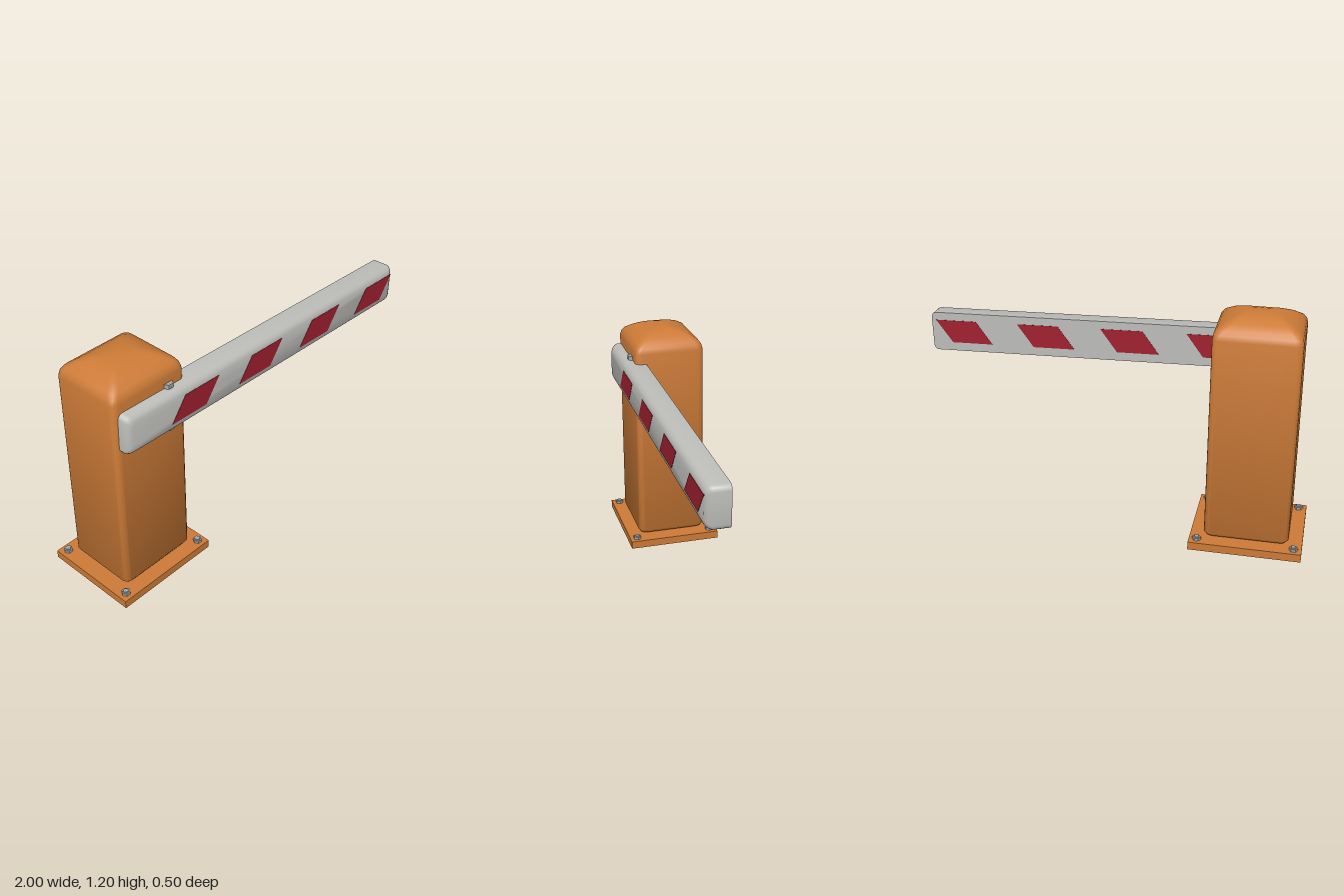
import * as THREE from 'three';
import { toCreasedNormals } from 'three/addons/utils/BufferGeometryUtils.js';

// Rounded rectangle stacked along z; rings are [z, inset] pairs, closed at both ends.
function loft(halfW, halfH, radius, rings) {
  const pos = [], index = [], steps = 4, n = 4 * (steps + 1);
  for (const [z, inset] of rings) {
    const w = halfW - inset, h = halfH - inset, r = Math.min(radius, w * 0.9, h * 0.9);
    for (let c = 0; c < 4; c++) {
      const sx = c === 0 || c === 3 ? 1 : -1, sy = c < 2 ? 1 : -1;
      for (let s = 0; s <= steps; s++) {
        const a = (c + s / steps) * Math.PI / 2;
        pos.push(sx * (w - r) + r * Math.cos(a), sy * (h - r) + r * Math.sin(a), z);
      }
    }
  }
  const last = (rings.length - 1) * n, c0 = rings.length * n;
  pos.push(0, 0, rings[0][0], 0, 0, rings[rings.length - 1][0]);
  for (let i = 0; i < n; i++) {
    const j = (i + 1) % n;
    for (let k = 0; k < last; k += n) {
      index.push(k + i, k + j, k + n + j, k + i, k + n + j, k + n + i);
    }
    index.push(c0, j, i, c0 + 1, last + i, last + j);
  }
  const g = new THREE.BufferGeometry();
  g.setAttribute('position', new THREE.Float32BufferAttribute(pos, 3));
  g.setIndex(index);
  return toCreasedNormals(g, 0.75);
}

function material(name, color) {
  const m = new THREE.MeshStandardMaterial({ color });
  m.name = name;
  return m;
}

export function createModel() {
  const model = new THREE.Group();
  model.name = 'barrierGate';
  const orange = material('orange paint', 0xcd7b37);
  const white = material('pale grey', 0xbdbdba);
  const red = material('stripe red', 0xa0202f);
  const steel = material('bolt steel', 0xa3a8ab);

  function add(parent, name, geometry, mat, x = 0, y = 0, z = 0) {
    const mesh = new THREE.Mesh(geometry, mat);
    mesh.name = name;
    mesh.position.set(x, y, z);
    parent.add(mesh);
    return mesh;
  }
  const hex = (r, h) => toCreasedNormals(new THREE.CylinderGeometry(r, r, h, 6).rotateY(Math.PI / 6), 0.5);

  // Base plate and its four bolts
  const baseX = -0.718;
  add(model, 'basePlate', new THREE.BoxGeometry(0.564, 0.042, 0.5), orange, baseX, 0.021, 0);
  for (const sx of [-1, 1]) for (const sz of [-1, 1]) {
    add(model, 'baseBolt', hex(0.022, 0.014), steel, baseX + sx * 0.242, 0.049, sz * 0.21);
    add(model, 'baseBoltTip', new THREE.CylinderGeometry(0.012, 0.014, 0.006, 12), steel,
      baseX + sx * 0.242, 0.058, sz * 0.21);
  }

  // Cabinet with a softly domed top
  const cabinet = loft(0.213, 0.187, 0.032, [
    [0.042, 0.026], [0.05, 0.012], [0.068, 0], [1.105, 0], [1.13, 0.006],
    [1.15, 0.02], [1.175, 0.058], [1.194, 0.1], [1.204, 0.145],
  ]).rotateX(-Math.PI / 2);
  add(model, 'cabinet', cabinet, orange, baseX, 0, 0);

  // Boom, dropping slightly toward its tip
  const boom = new THREE.Group();
  boom.name = 'boom';
  boom.position.set(0.045, 0.937, 0);
  boom.rotation.z = -0.022;
  model.add(boom);
  add(boom, 'boomArm', loft(0.953, 0.103, 0.026, [
    [0.13, 0], [0.212, 0], [0.226, 0.006], [0.238, 0.016], [0.245, 0.03],
  ]), white);

  // Slanted stripes on the front and back faces
  const stripe = new THREE.Shape([[-0.15, -0.06], [0.066, -0.06], [0.15, 0.06], [-0.066, 0.06]]
    .map(([x, y]) => new THREE.Vector2(x, y)));
  const stripeGeometry = new THREE.ExtrudeGeometry(stripe, { depth: 0.004, bevelEnabled: false });
  for (let i = 0; i < 4; i++) {
    const x = -0.54 + i * 0.44;
    add(boom, 'frontStripe', stripeGeometry, red, x, 0.002, 0.2425);
    add(boom, 'backStripe', stripeGeometry, red, x, 0.002, 0.1285);
  }

  // Pivot bolt passing vertically through the boom
  for (const s of [-1, 1]) {
    add(boom, 'pivotNut', hex(0.027, 0.024), steel, -0.657, s * 0.113, 0.184);
    add(boom, 'pivotWasher', new THREE.CylinderGeometry(0.024, 0.024, 0.008, 16), steel,
      -0.657, s * 0.105, 0.184);
  }
  return model;
}
